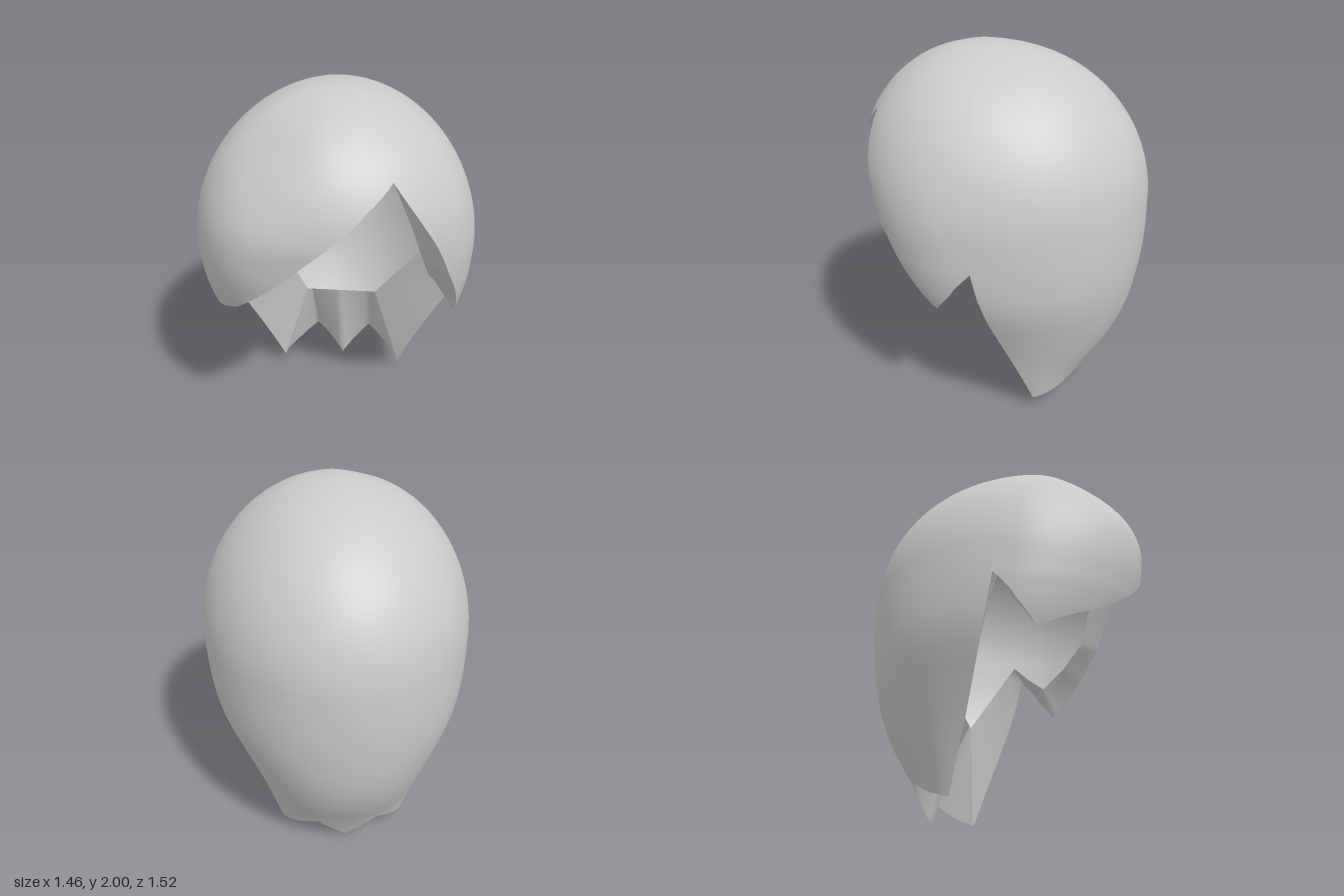
import * as THREE from 'three';
import { mergeVertices } from 'three/addons/utils/BufferGeometryUtils.js';

// Lower cross-sections, every 0.2 in height: half width, centre z, front depth, back depth
const sections = new THREE.CubicInterpolant(
  [0, 0.2, 0.4, 0.6, 0.8, 1.0, 1.2],
  [
    0.345, -0.24, 0.20, 0.16,
    0.42, -0.165, 0.25, 0.335,
    0.50, -0.08, 0.32, 0.54,
    0.59, -0.01, 0.43, 0.69,
    0.68, 0.05, 0.55, 0.79,
    0.72, 0.10, 0.58, 0.86,
    0.73, 0.13, 0.60, 0.89,
  ], 4);

// Hem keys, from the back round by the left: angle, hem height, inner lip x, y, z
const hem = [
  [-90, 0.0, 0, 0.59, -0.25],
  [-66, 0.19, 0.18, 0.59, -0.25],
  [-47, 0.13, 0.195, 0.59, -0.25],
  [-33, 0.10, 0.20, 0.59, -0.25],
  [-8.3, 0.07, 0.21, 0.59, -0.25],
  [-7.5, 1.06, 0.52, 1.08, -0.03],
  [2, 0.925, 0.53, 1.0, 0.06],
  [16, 0.79, 0.54, 0.94, 0.15],
  [27.5, 1.0, 0.50, 1.05, 0.28],
  [37.5, 1.2, 0.46, 1.2, 0.40],
  [45, 1.4, 0.40, 1.4, 0.46],
  [58.5, 1.7, 0.285, 1.68, 0.47],
  [72, 1.6, 0.17, 1.565, 0.49],
  [92, 1.4, -0.03, 1.38, 0.50],
  [109, 1.2, -0.23, 1.19, 0.43],
  [128.5, 1.0, -0.39, 1.045, 0.31],
  [143, 0.9, -0.48, 0.965, 0.21],
  [164, 0.79, -0.54, 0.94, 0.13],
  [178, 0.925, -0.51, 1.04, 0.06],
  [187.5, 1.06, -0.45, 1.22, -0.01],
  [188.3, 0.07, -0.21, 0.59, -0.25],
  [213, 0.10, -0.20, 0.59, -0.25],
  [227, 0.13, -0.195, 0.59, -0.25],
  [246, 0.19, -0.18, 0.59, -0.25],
  [270, 0.0, 0, 0.59, -0.25],
];

const dome = (y, mid) => Math.sqrt(Math.max(0, 1 - ((y - mid) / (2 - mid)) ** 2));

// Point on the outer surface at an angle (degrees) and height
function surface(angle, y) {
  const a = THREE.MathUtils.degToRad(angle);
  const s = Math.sin(a), c = Math.cos(a);
  let [w, zc, front, back] = sections.evaluate(Math.min(y, 1.2));
  if (y > 1.2) {
    w = 0.73 * dome(y, 1.2);
    back = 0.89 * dome(y, 1.2) ** 0.9;
    front = y > 1.4 ? 0.63 * dome(y, 1.4) : 0.60 + 0.15 * (y - 1.2);
  }
  // The swept fringe swells on the right and flattens towards the crown
  if (s > 0 && c < 0) {
    const swell = 0.13 * Math.max(y < 1.25 ? 0 : -1, 1 - ((y - 1.25) / 0.4) ** 2);
    front *= 1 + swell * Math.sin(2 * a) ** 2;
  }
  return new THREE.Vector3(w * c, y, zc + (s > 0 ? front : back) * s);
}

// Joins closed rows of points into one smooth skin
function skin(name, rows, material) {
  const n = rows[0].length, index = [];
  for (let j = 0; j < rows.length - 1; j++) {
    for (let i = 0; i < n; i++) {
      const k = (i + 1) % n;
      const a = j * n + i, b = j * n + k, c = a + n, d = b + n;
      index.push(a, b, c, b, d, c);
    }
  }
  let geometry = new THREE.BufferGeometry().setFromPoints(rows.flat());
  geometry.setIndex(index);
  geometry = mergeVertices(geometry, 1e-5);
  geometry.computeVertexNormals();
  const mesh = new THREE.Mesh(geometry, material);
  mesh.name = name;
  return mesh;
}

export function createModel() {
  const group = new THREE.Group();
  group.name = 'hair';
  const material = new THREE.MeshStandardMaterial({ color: 0xcccccc, side: THREE.DoubleSide });

  // Subdivide the hem between its keys
  const steps = 6, columns = [];
  for (let i = 0; i < hem.length - 1; i++) {
    for (let s = 0; s < steps; s++) {
      columns.push(hem[i].map((v, k) => THREE.MathUtils.lerp(v, hem[i + 1][k], s / steps)));
    }
  }

  // Hollow hair shell: crown down to the side notches, then on down the locks
  const crownRings = 24, lockRings = 12, notch = 1.06, shell = [];
  for (let j = 0; j <= crownRings; j++) {
    const t = 1 - Math.cos((j / crownRings) * Math.PI / 2);
    shell.push(columns.map(([angle, y]) => surface(angle, 2 - (2 - Math.max(y, notch)) * t)));
  }
  for (let j = 1; j <= lockRings; j++) {
    shell.push(columns.map(([angle, y]) =>
      surface(angle, THREE.MathUtils.lerp(Math.max(y, notch), y, j / lockRings))));
  }
  group.add(skin('hairShell', shell, material));

  // Underside of the locks: from the hem in to the lip of the hollow
  const lip = columns.map(([, , x, y, z]) => new THREE.Vector3(x, y, z));
  group.add(skin('lockUnderside', [shell.at(-1), lip], material));

  return group;
}
